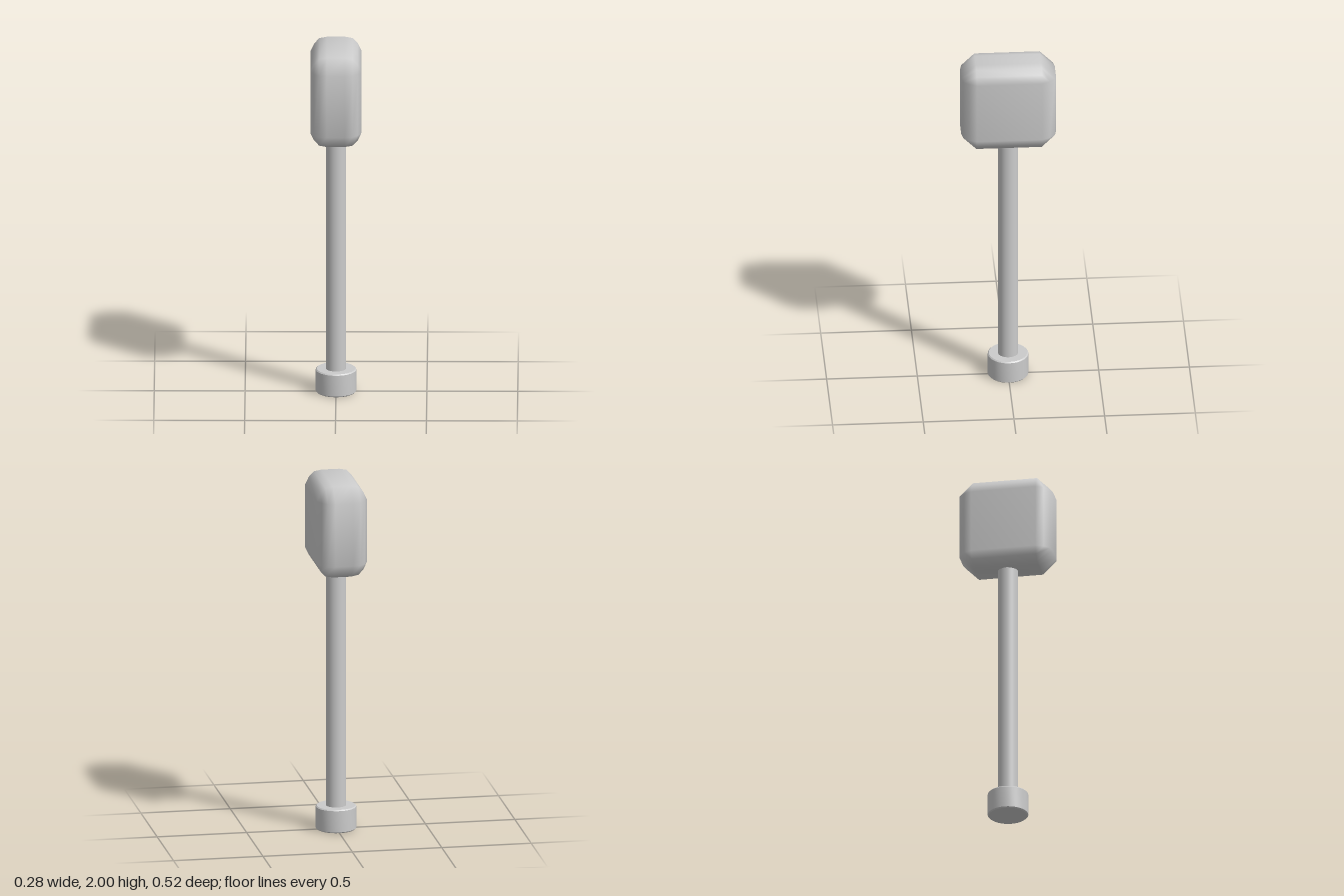
import * as THREE from 'three';
import { mergeVertices, toCreasedNormals } from 'three/addons/utils/BufferGeometryUtils.js';

const material = new THREE.MeshStandardMaterial({ color: 0xcccccc });

function addPart(group, name, geometry, y = 0) {
  const mesh = new THREE.Mesh(geometry, material);
  mesh.name = name;
  mesh.position.y = y;
  group.add(mesh);
}

// Rounded block: octagonal cross-sections lofted along x, shrinking to flat rectangular sides
function headGeometry() {
  const halfZ = 0.18, halfY = 0.178;
  const half = [[0.14, 0], [0.12, 0.043], [0.092, 0.073], [0.05, 0.081]]; // x, outward offset
  const rings = [...half.map(([x, d]) => [-x, d]), ...half.slice().reverse()];
  const positions = [], index = [];
  for (const [x, d] of rings) {
    // Corner order runs from +y towards +z
    for (const [sy, sz] of [[1, 1], [-1, 1], [-1, -1], [1, -1]]) {
      const alongZ = [x, sy * halfY, sz * (halfZ + d)];
      const alongY = [x, sy * (halfY + d), sz * halfZ];
      positions.push(...(sy === sz ? [...alongY, ...alongZ] : [...alongZ, ...alongY]));
    }
  }
  for (let r = 0; r < rings.length - 1; r++) {
    for (let i = 0; i < 8; i++) {
      const a = r * 8 + i, b = r * 8 + (i + 1) % 8, c = a + 8, e = b + 8;
      index.push(a, b, c, b, e, c);
    }
  }
  // Flat sides
  const last = (rings.length - 1) * 8;
  index.push(0, 4, 2, 0, 6, 4, last, last + 2, last + 4, last, last + 4, last + 6);

  let geometry = new THREE.BufferGeometry();
  geometry.setAttribute('position', new THREE.Float32BufferAttribute(positions, 3));
  geometry.setIndex(index);
  geometry = mergeVertices(geometry, 1e-5);

  // Drop triangles collapsed by welding the rectangular corners
  const welded = geometry.index.array, kept = [];
  for (let i = 0; i < welded.length; i += 3) {
    const [a, b, c] = welded.slice(i, i + 3);
    if (a !== b && b !== c && c !== a) kept.push(a, b, c);
  }
  geometry.setIndex(kept);
  geometry.computeVertexNormals();
  return geometry;
}

export function createModel() {
  const group = new THREE.Group();
  group.name = 'mallet';

  addPart(group, 'head', headGeometry(), 1.741);
  addPart(group, 'handle', new THREE.CylinderGeometry(0.056, 0.056, 1.42, 32), 0.79);

  // End cap with slightly eased edges
  const profile = [[0, 0], [0.106, 0], [0.112, 0.006], [0.112, 0.127], [0.106, 0.133], [0, 0.133]]
    .map(([x, y]) => new THREE.Vector2(x, y));
  addPart(group, 'pommel', toCreasedNormals(new THREE.LatheGeometry(profile, 32), 0.6));

  return group;
}
